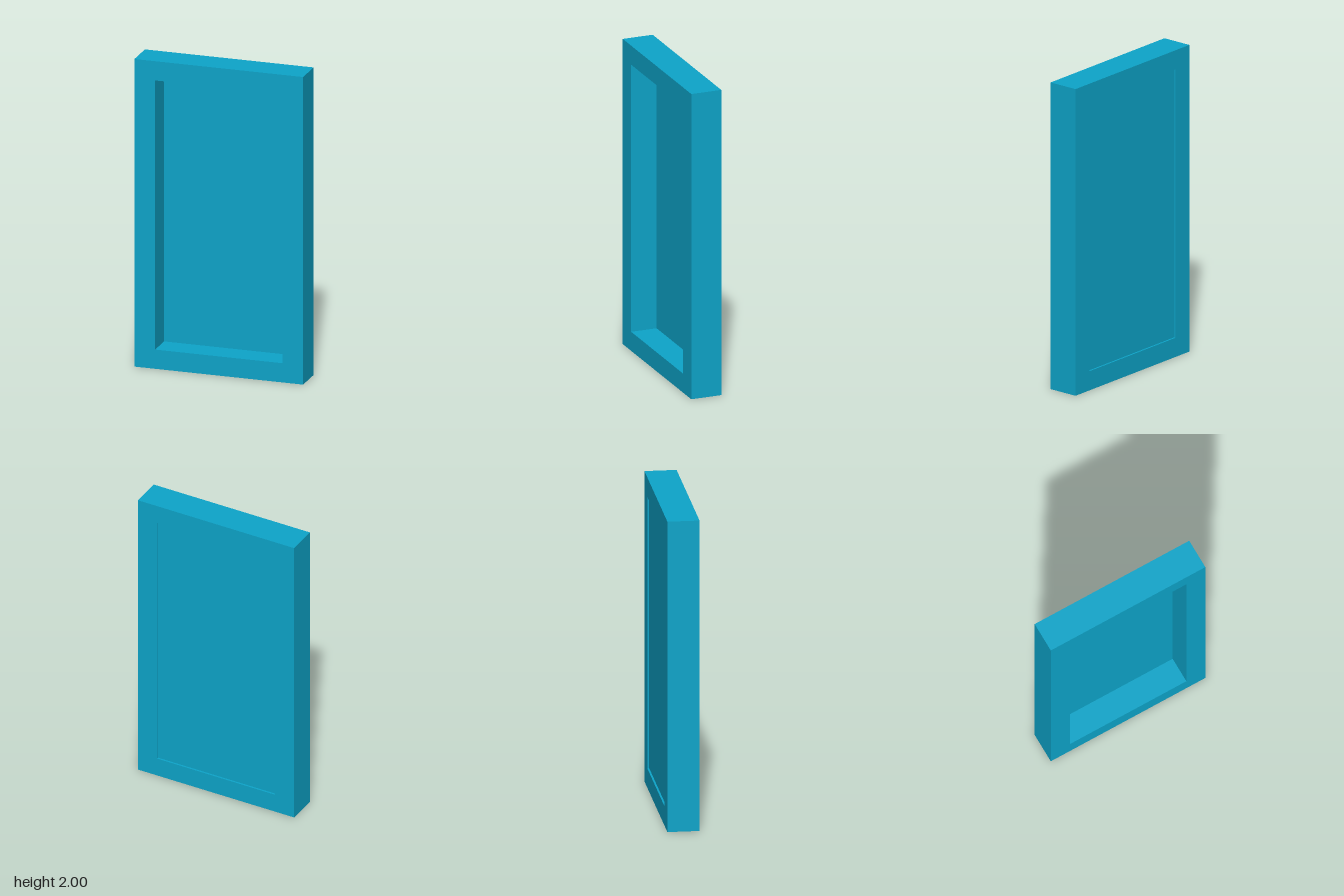
import * as THREE from 'three';

export function createModel() {
  const group = new THREE.Group();
  const material = new THREE.MeshStandardMaterial({ color: 0x0da5ca });

  const width = 1.1, height = 2, depth = 0.2;
  const openingX = 0.415, openingBottom = 0.125, openingTop = 1.875;

  // Rectangular frame with a through opening
  const outline = new THREE.Shape([
    new THREE.Vector2(-width / 2, 0),
    new THREE.Vector2(width / 2, 0),
    new THREE.Vector2(width / 2, height),
    new THREE.Vector2(-width / 2, height),
  ]);
  outline.holes.push(new THREE.Path([
    new THREE.Vector2(-openingX, openingBottom),
    new THREE.Vector2(-openingX, openingTop),
    new THREE.Vector2(openingX, openingTop),
    new THREE.Vector2(openingX, openingBottom),
  ]));
  const frameGeometry = new THREE.ExtrudeGeometry(outline, { depth, bevelEnabled: false });
  frameGeometry.translate(0, 0, -depth / 2);
  const frame = new THREE.Mesh(frameGeometry, material);
  frame.name = 'frame';
  group.add(frame);

  // Thin panel set near the back, with a hairline gap at its top edge
  const panelBack = -0.088, panelFront = -0.07, panelTop = openingTop - 0.005;
  const panel = new THREE.Mesh(
    new THREE.BoxGeometry(openingX * 2, panelTop - openingBottom, panelFront - panelBack),
    material,
  );
  panel.position.set(0, (panelTop + openingBottom) / 2, (panelFront + panelBack) / 2);
  panel.name = 'backPanel';
  group.add(panel);

  return group;
}
